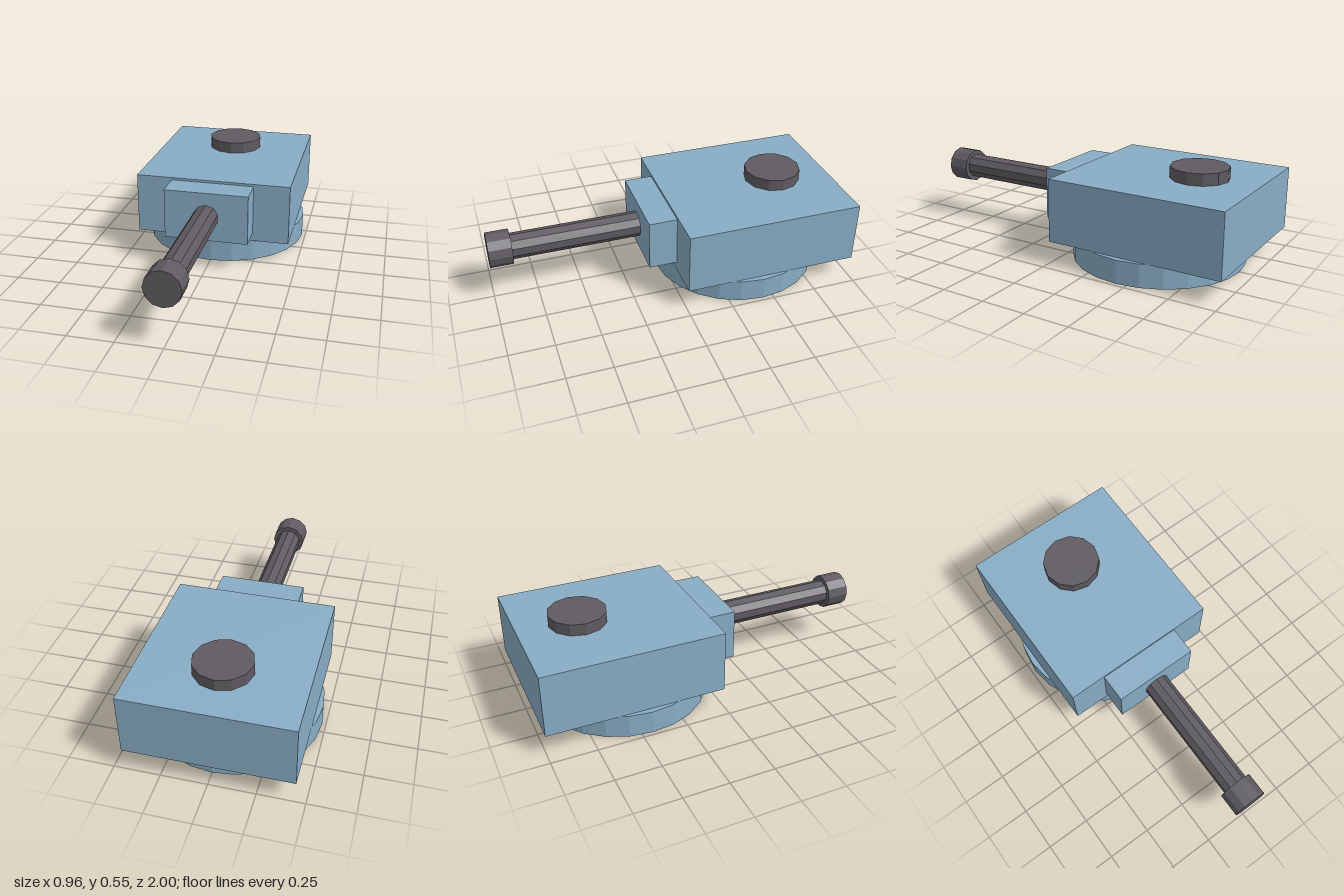
import * as THREE from 'three';

export function createModel() {
  const model = new THREE.Group();
  model.name = 'turret';

  const armour = new THREE.MeshStandardMaterial({ color: 0x88adc6, flatShading: true });
  armour.name = 'blueArmour';
  const gunmetal = new THREE.MeshStandardMaterial({ color: 0x5f5b61, flatShading: true });
  gunmetal.name = 'darkGunmetal';

  const add = (name, geometry, material) => {
    const mesh = new THREE.Mesh(geometry, material);
    mesh.name = name;
    model.add(mesh);
  };

  // Box given by its half width and its y and z ranges
  const box = (name, halfWidth, y0, y1, z0, z1) =>
    add(name, new THREE.BoxGeometry(2 * halfWidth, y1 - y0, z1 - z0)
      .translate(0, (y0 + y1) / 2, (z0 + z1) / 2), armour);

  // Upright disc centred at z
  const disc = (name, radius, sides, y0, y1, z, material) =>
    add(name, new THREE.CylinderGeometry(radius, radius, y1 - y0, sides)
      .translate(0, (y0 + y1) / 2, z), material);

  // Tube section lying along z on the gun axis
  const gunAxis = 0.322;
  const gunPart = (name, radius, sides, z0, z1) =>
    add(name, new THREE.CylinderGeometry(radius, radius, z1 - z0, sides)
      .rotateX(Math.PI / 2).translate(0, gunAxis, (z0 + z1) / 2), gunmetal);

  // Turning ring, hull and gun mount
  disc('turretRing', 0.48, 24, 0, 0.13, -0.44, armour);
  box('turretBody', 0.448, 0.13, 0.48, -1, -0.007);
  box('gunMantlet', 0.24, 0.178, 0.466, -0.06, 0.152);

  // Roof hatch
  disc('hatch', 0.16, 12, 0.48, 0.545, -0.668, gunmetal);

  // Gun
  gunPart('barrel', 0.073, 10, 0.1, 0.9);
  gunPart('muzzle', 0.098, 12, 0.872, 1);

  return model;
}
